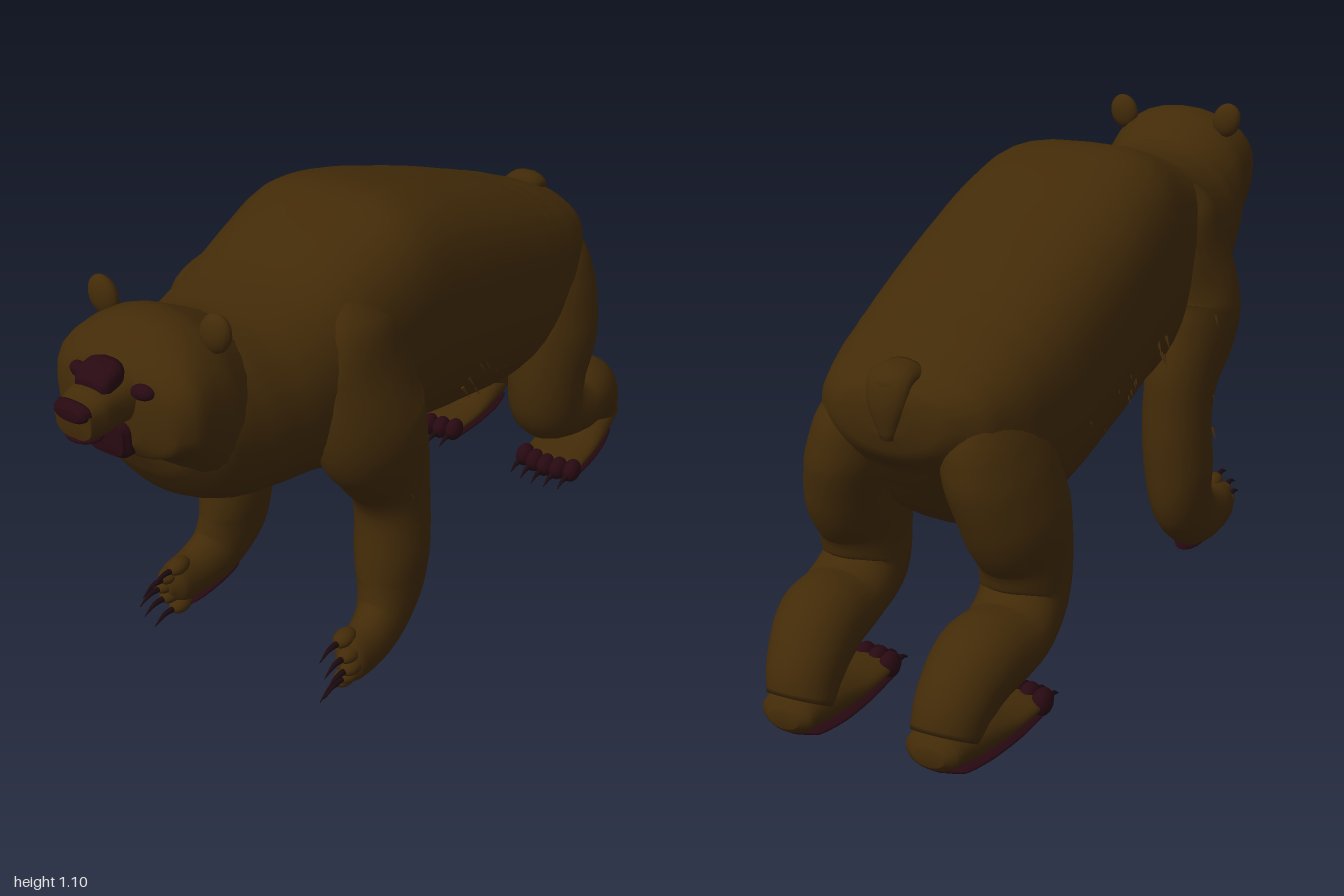
import * as THREE from 'three';

const fur = new THREE.MeshStandardMaterial({ color: 0x432b08 });
fur.name = 'brown fur';
const skin = new THREE.MeshStandardMaterial({ color: 0x280912 });
skin.name = 'dark plum skin';
const horn = new THREE.MeshStandardMaterial({ color: 0x1c0a0f });
horn.name = 'dark claw';

// Smooth skin through sections [x, y, z, halfWidth, halfDepth, squareness].
// belly overrides the squareness of the lower half.
function loft(sections, { upright = false, sides = 28, steps = 5, belly = 0 } = {}) {
  const path = new THREE.CatmullRomCurve3(sections.map(s => new THREE.Vector3(s[0], s[1], s[2])));
  const size = new THREE.CatmullRomCurve3(sections.map(s => new THREE.Vector3(s[3], s[4], s[5] ?? 2)));
  const rings = (sections.length - 1) * steps;
  const X = new THREE.Vector3(1, 0, 0);
  const pos = [], index = [];
  for (let i = 0; i <= rings; i++) {
    const t = i / rings, c = path.getPoint(t), r = size.getPoint(t);
    const up = upright ? new THREE.Vector3(0, 1, 0) : path.getTangent(t).cross(X).normalize();
    for (let j = 0; j < sides; j++) {
      const a = j / sides * Math.PI * 2, ca = Math.cos(a), sa = Math.sin(a);
      const e = 2 / (sa < 0 && belly ? belly : r.z);
      const u = Math.sign(ca) * Math.abs(ca) ** e * Math.max(r.x, 0.001);
      const v = Math.sign(sa) * Math.abs(sa) ** e * Math.max(r.y, 0.001);
      pos.push(c.x + u, c.y + up.y * v, c.z + up.z * v);
    }
  }
  for (let i = 0; i < rings; i++) for (let j = 0; j < sides; j++) {
    const k = (j + 1) % sides, a = i * sides, b = a + sides;
    index.push(a + j, a + k, b + k, a + j, b + k, b + j);
  }
  // End caps
  const first = sections[0], last = sections[sections.length - 1], n = pos.length / 3;
  pos.push(first[0], first[1], first[2], last[0], last[1], last[2]);
  for (let j = 0; j < sides; j++) {
    const k = (j + 1) % sides, b = rings * sides;
    index.push(n, k, j, n + 1, b + j, b + k);
  }
  const g = new THREE.BufferGeometry();
  g.setAttribute('position', new THREE.Float32BufferAttribute(pos, 3));
  g.setIndex(index);
  g.computeVertexNormals();
  return g;
}

function add(parent, name, geometry, material) {
  const m = new THREE.Mesh(geometry, material);
  m.name = name;
  parent.add(m);
  return m;
}

function ball(parent, name, material, [x, y, z], [sx, sy, sz]) {
  const m = add(parent, name, new THREE.SphereGeometry(1, 18, 12), material);
  m.position.set(x, y, z);
  m.scale.set(sx, sy, sz);
  return m;
}

// Section from top and bottom heights, for the trunk and head
const slab = ([z, top, bottom, w, e]) => [0, (top + bottom) / 2, z, w, (top - bottom) / 2, e];

// Moves a left-hand section list to side s
const onSide = (s, list) => list.map(p => [p[0] * s, ...p.slice(1)]);

// Tapered, drooping claw pointing forward
function claw(parent, x, y, z, len, r) {
  add(parent, 'claw', loft([
    [x, y, z, r, r], [x, y + 0.004, z + len * 0.5, r * 0.75, r * 0.75], [x, y - 0.01, z + len, 0.001, 0.001],
  ], { sides: 8, steps: 3 }), horn);
}

function frontLeg(s) {
  const leg = new THREE.Group();
  leg.name = s > 0 ? 'leftFrontLeg' : 'rightFrontLeg';
  add(leg, 'foreleg', loft(onSide(s, [
    [.16, .98, .28, .04, .06], [.18, .91, .29, .085, .13], [.205, .8, .30, .092, .17],
    [.235, .68, .30, .102, .165], [.24, .60, .265, .098, .145], [.232, .50, .215, .087, .12],
    [.23, .40, .195, .085, .102], [.235, .28, .20, .085, .105], [.24, .18, .215, .073, .105],
    [.25, .11, .27, .06, .085], [.26, .085, .35, .052, .068], [.265, .085, .42, .043, .06],
    [.267, .085, .45, .015, .02],
  ])), fur);
  // Toes fan out vertically because the paw is rolled inward
  for (let i = 0; i < 5; i++) {
    const y = 0.027 + i * 0.029, bow = Math.sin(i / 4 * Math.PI);
    const x = s * (0.25 + 0.03 * bow), z = 0.42 + 0.015 * bow;
    ball(leg, 'toe', fur, [x, y, z], [.024, .021, .035]);
    claw(leg, x, y, z + 0.025, 0.075, 0.008);
  }
  const pad = ball(leg, 'pawPad', skin, [s * .236, .029, .31], [.034, .009, .105]);
  pad.rotation.set(.06, 0, -s * .5);
  return leg;
}

function hindLeg(s) {
  const leg = new THREE.Group();
  leg.name = s > 0 ? 'leftHindLeg' : 'rightHindLeg';
  add(leg, 'thighAndShin', loft(onSide(s, [
    [.14, .74, -.68, .05, .08], [.153, .66, -.675, .092, .135], [.17, .58, -.66, .108, .155],
    [.192, .48, -.635, .11, .15], [.20, .36, -.60, .10, .12], [.20, .265, -.61, .097, .105],
    [.205, .215, -.70, .10, .085], [.195, .20, -.815, .098, .1], [.183, .14, -.895, .085, .088],
    [.176, .08, -.93, .075, .068],
  ])), fur);
  add(leg, 'foot', loft(onSide(s, [
    [.175, .065, -1.0, .035, .02], [.175, .07, -.978, .065, .045], [.18, .06, -.88, .08, .05],
    [.185, .042, -.76, .088, .03], [.19, .036, -.66, .085, .023], [.19, .035, -.64, .04, .015],
  ]), { upright: true }), fur);
  add(leg, 'sole', loft(onSide(s, [
    [.176, .02, -.965, .02, .006], [.177, .017, -.945, .058, .01], [.18, .014, -.86, .08, .013],
    [.186, .015, -.75, .089, .014], [.19, .016, -.66, .087, .014], [.19, .016, -.635, .05, .008],
  ]), { upright: true }), skin);
  for (let i = 0; i < 5; i++) {
    const x = s * (.118 + i * .037), z = -.655 + .015 * Math.sin(i / 4 * Math.PI);
    ball(leg, 'toe', skin, [x, .039, z], [.023, .032, .034]);
    claw(leg, x, .03, z + .02, .06, .009);
  }
  return leg;
}

function head() {
  const g = new THREE.Group();
  g.name = 'head';
  add(g, 'skull', loft([
    [.58, 1.0, .62, .17, 2.1], [.68, 1.055, .64, .195, 2.1], [.76, 1.07, .71, .196, 2.2],
    [.82, 1.045, .78, .19, 2.3], [.86, 1.0, .80, .155, 2.5], [.88, .95, .83, .07, 2],
  ].map(slab), { upright: true, belly: 2.9 }), fur);
  add(g, 'muzzle', loft([
    [.82, 1.01, .88, .085, 2.4], [.90, .99, .885, .062, 2.6],
    [.96, .975, .885, .052, 2.8], [.985, .97, .89, .046, 2.8],
  ].map(slab), { upright: true }), fur);
  add(g, 'noseTip', loft([
    [.978, .975, .93, .046, 2.6], [.993, .972, .932, .04, 2.4], [1.0, .962, .938, .03, 2],
  ].map(slab), { upright: true }), skin);
  add(g, 'bridge', loft([
    [.865, 1.02, .96, .035, 3], [.885, 1.024, .96, .046, 3], [.92, 1.012, .96, .045, 3], [.935, .995, .96, .035, 3],
  ].map(slab), { upright: true }), skin);
  add(g, 'mouth', loft([
    [.84, .89, .803, .056, 4], [.885, .89, .803, .055, 4], [.9, .887, .812, .047, 3.5],
  ].map(slab), { upright: true }), skin);
  ball(g, 'lip', skin, [0, .886, .955], [.042, .011, .035]);
  for (const s of [-1, 1]) {
    const eye = ball(g, 'eye', skin, [s * .083, .966, .868], [.027, .017, .018]);
    eye.rotation.y = s * .25;
    const ear = ball(g, 'ear', fur, [s * .148, 1.05, .715], [.038, .046, .022]);
    ear.rotation.z = -s * .3;
  }
  return g;
}

export function createModel() {
  const bear = new THREE.Group();
  bear.name = 'bear';

  add(bear, 'trunk', loft([
    [-.83, .76, .68, .05, 2], [-.815, .785, .63, .13, 2.3], [-.75, .815, .55, .205, 2.6],
    [-.65, .86, .43, .245, 2.7], [-.55, .90, .37, .263, 2.8], [-.45, .94, .355, .275, 2.8],
    [-.2, 1.03, .40, .285, 2.9], [0, 1.09, .44, .28, 3.1], [.1, 1.10, .45, .275, 3.2],
    [.25, 1.065, .46, .265, 2.9], [.4, 1.015, .515, .257, 2.5], [.55, 1.0, .55, .235, 2.1],
    [.65, 1.01, .58, .215, 2], [.73, 1.0, .63, .195, 2], [.79, .95, .71, .145, 2],
    [.82, .88, .77, .05, 2],
  ].map(slab), { upright: true, sides: 40, belly: 2.05 }), fur);

  add(bear, 'tail', loft([
    [0, .795, -.75, .05, .03], [0, .795, -.805, .052, .028], [0, .75, -.825, .045, .022], [0, .67, -.825, .015, .01],
  ], { sides: 14 }), fur);
  ball(bear, 'tailTip', fur, [0, .79, -.82], [.032, .02, .02]);

  bear.add(head());
  for (const s of [-1, 1]) bear.add(frontLeg(s), hindLeg(s));

  // Sparse tufts of fur on the flanks and forelegs
  let seed = 7;
  const rnd = () => (seed = (seed * 16807) % 2147483647) / 2147483647;
  const tuft = new THREE.ConeGeometry(.005, .035, 5);
  for (let i = 0; i < 36; i++) {
    const s = i % 2 ? 1 : -1, onLeg = i % 3 === 0;
    const y = onLeg ? .35 + rnd() * .35 : .48 + rnd() * .2;
    const z = onLeg ? .2 + rnd() * .05 : -.45 + rnd() * .5;
    const x = onLeg ? .312 + Math.max(0, y - .5) * .08 : .28 * Math.sqrt(1 - ((y - .7) / .32) ** 2);
    const m = add(bear, 'furTuft', tuft, fur);
    m.position.set(s * x, y, z);
    m.rotation.set(.4, 0, s * -2.7);
  }
  return bear;
}
